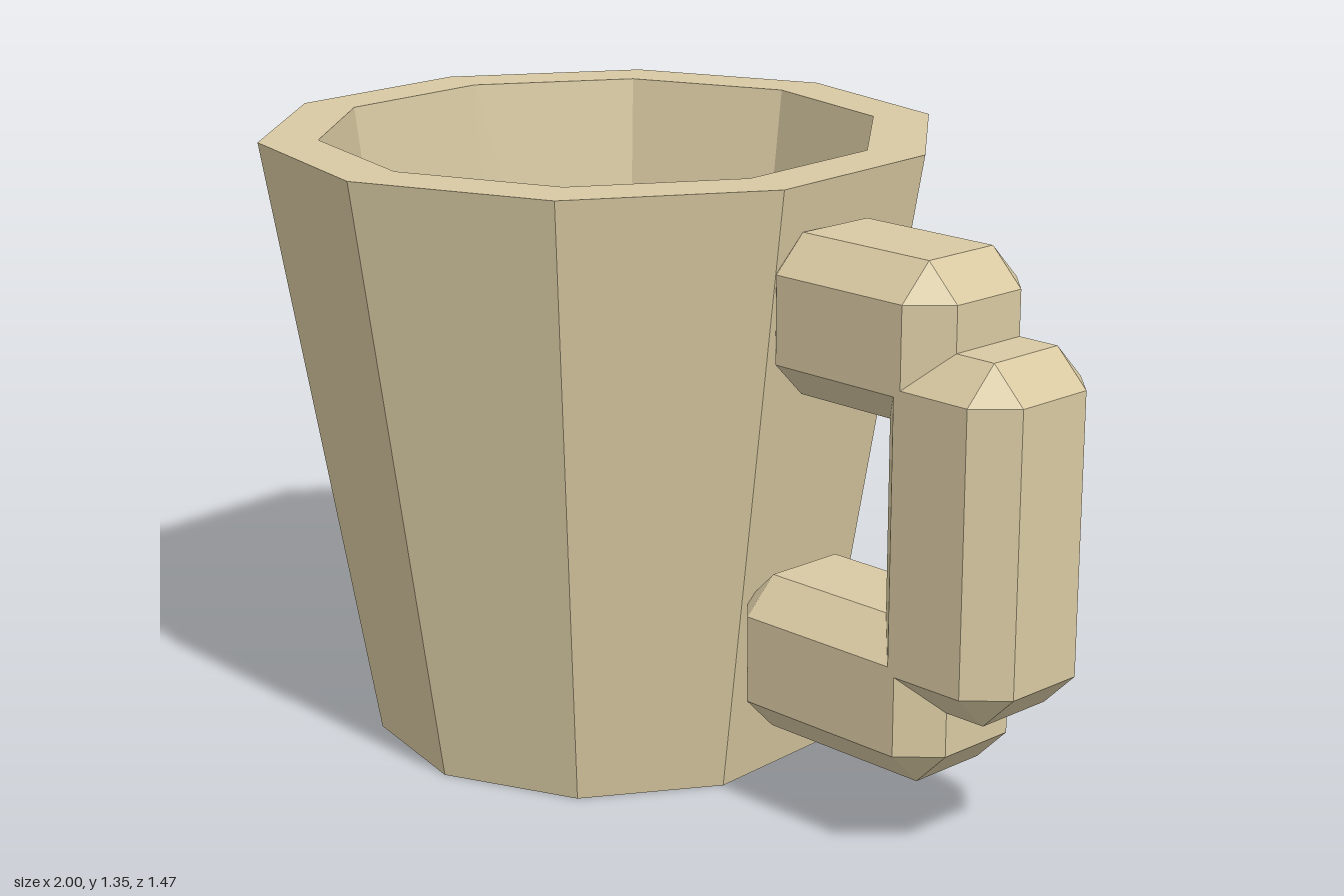
import * as THREE from 'three';
import { ConvexGeometry } from 'three/addons/geometries/ConvexGeometry.js';

// Box with flat chamfers of size c on every edge and triangular corners
function chamferedBox(w, h, d, c) {
  const points = [];
  for (const x of [-1, 1]) for (const y of [-1, 1]) for (const z of [-1, 1]) {
    for (let axis = 0; axis < 3; axis++) {
      const inset = [0, 1, 2].map((i) => (i === axis ? 0 : c));
      points.push(new THREE.Vector3(
        x * (w / 2 - inset[0]), y * (h / 2 - inset[1]), z * (d / 2 - inset[2])));
    }
  }
  return new ConvexGeometry(points);
}

export function createModel() {
  const model = new THREE.Group();
  model.name = 'mug';
  const clay = new THREE.MeshStandardMaterial({ color: 0xd8c9a2, flatShading: true });
  clay.name = 'clay beige';

  // Ten-sided tapered cup: base, outer wall, rim, inner wall, floor
  const profile = [
    [0, 0], [0.517, 0], [0.74, 1.35], [0.612, 1.35], [0.445, 0.1], [0, 0.1],
  ].map(([r, y]) => new THREE.Vector2(r, y));
  const cupGeometry = new THREE.LatheGeometry(
    profile, 10, THREE.MathUtils.degToRad(4.8), Math.PI * 2).toNonIndexed();
  cupGeometry.computeVertexNormals();
  const cup = new THREE.Mesh(cupGeometry, clay);
  cup.name = 'cup';
  cup.position.x = -0.28;
  model.add(cup);

  // Handle of three chamfered bars: [name, x0, x1, y0, y1]
  const handle = new THREE.Group();
  handle.name = 'handle';
  const bars = [
    ['handleTop', 0.345, 0.83, 0.915, 1.25],
    ['handleGrip', 0.663, 1.0, 0.34, 1.08],
    ['handleBottom', 0.27, 0.83, 0.17, 0.508],
  ];
  for (const [name, x0, x1, y0, y1] of bars) {
    const bar = new THREE.Mesh(chamferedBox(x1 - x0, y1 - y0, 0.337, 0.075), clay);
    bar.name = name;
    bar.position.set((x0 + x1) / 2, (y0 + y1) / 2, 0);
    handle.add(bar);
  }
  model.add(handle);

  return model;
}
